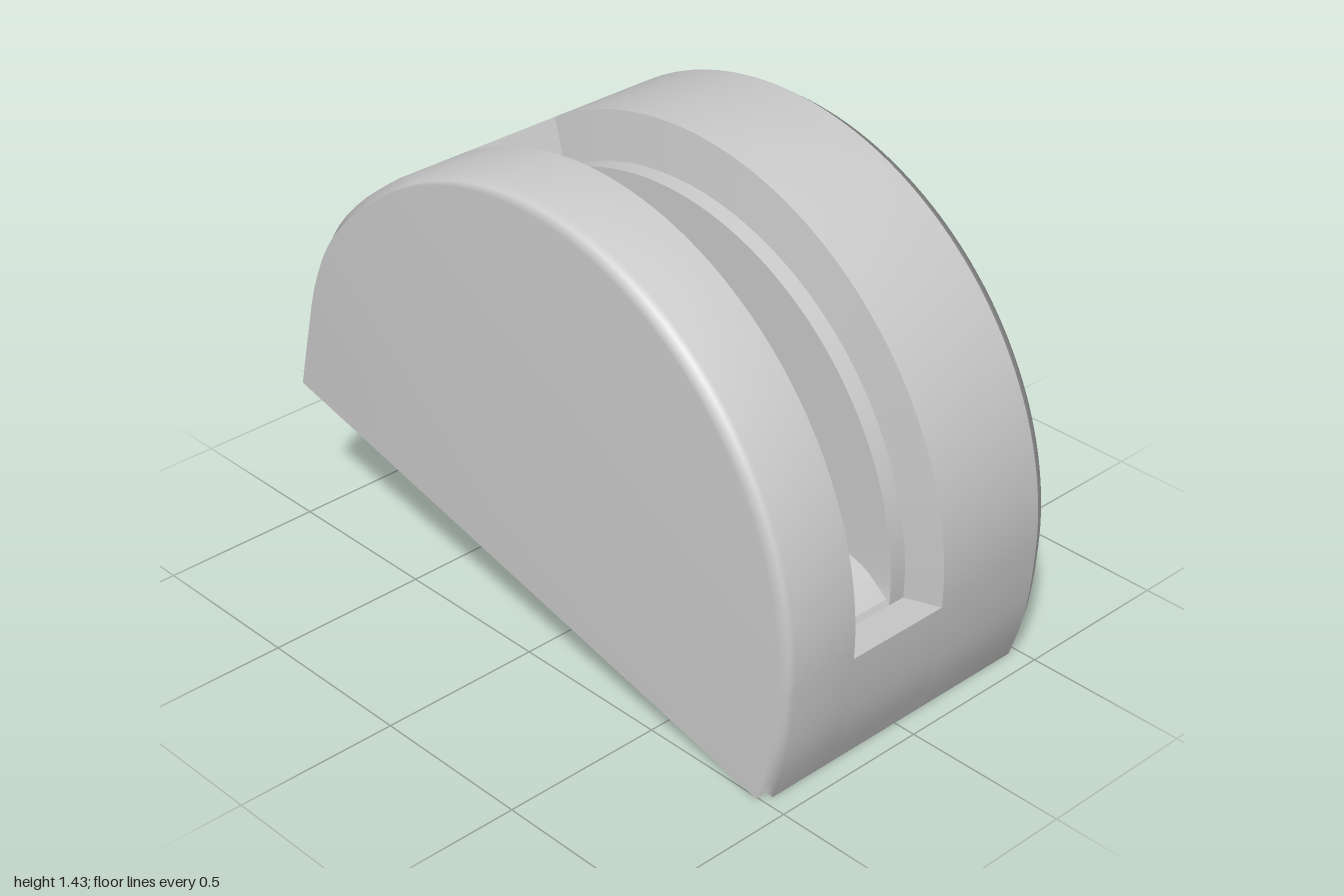
import * as THREE from 'three';
import { toCreasedNormals } from 'three/addons/utils/BufferGeometryUtils.js';

const material = new THREE.MeshStandardMaterial({ color: 0xcccccc, side: THREE.DoubleSide });
const V2 = (z, y) => new THREE.Vector2(z, y);

// Middle of the sloping open base; profiles shrink towards it
const BASE_Y = 0.2265;
const ARC_STEPS = 60;
const END_STEPS = 8;

// Side outline as (z, y), from the front foot over the top to the back foot
function outline() {
  const front = new THREE.SplineCurve([V2(0.93, 0), V2(0.97, 0.13), V2(0.99, 0.26), V2(0.998, 0.37)]);
  const back = new THREE.SplineCurve([V2(-0.52, 1.285), V2(-0.69, 1.155), V2(-0.82, 1.015),
    V2(-0.905, 0.845), V2(-0.955, 0.66), V2(-1, 0.47)]);
  const arc = [];
  for (let i = 0; i <= ARC_STEPS; i++) {
    const a = THREE.MathUtils.degToRad(-3.44 + (121.3 + 3.44) * i / ARC_STEPS);
    arc.push(V2(Math.cos(a), 0.43 + Math.sin(a)));
  }
  return [...front.getPoints(END_STEPS).slice(0, -1), ...arc, ...back.getPoints(16).slice(1)];
}

// One column of the surface: the outline at a given x, shrunk by s
const column = (pts, x, s = 1) =>
  pts.map(p => new THREE.Vector3(x, BASE_Y + (p.y - BASE_Y) * s, p.x * s));

// Smooth surface through neighbouring columns of points
function skin(name, columns, crease) {
  const rows = columns[0].length;
  const position = columns.flatMap(c => c.flatMap(p => p.toArray()));
  const index = [];
  for (let c = 0; c < columns.length - 1; c++) {
    for (let r = 0; r < rows - 1; r++) {
      const a = c * rows + r, b = a + rows;
      index.push(a, a + 1, b, b, a + 1, b + 1);
    }
  }
  let geometry = new THREE.BufferGeometry();
  geometry.setAttribute('position', new THREE.Float32BufferAttribute(position, 3));
  geometry.setIndex(index);
  geometry.computeVertexNormals();
  if (crease) geometry = toCreasedNormals(geometry, crease);
  const mesh = new THREE.Mesh(geometry, material);
  mesh.name = name;
  return mesh;
}

export function createModel() {
  const group = new THREE.Group();
  group.name = 'slottedDome';
  const full = outline();
  const slotStart = END_STEPS, slotEnd = END_STEPS + ARC_STEPS;
  const slotPts = full.slice(slotStart, slotEnd + 1);
  const RIGHT = 0.09, LEFT = -0.25;

  // Rounded body halves with a small step near each flat side
  const side = k => [[0.51, 0], [0.51, 0.977], [0.47, 0.977], [0.47, 1]]
    .map(([x, s]) => column(full, k * x, s));
  group.add(skin('leftBody', [...side(1), column(full, RIGHT)]));
  group.add(skin('rightBody', [column(full, LEFT), ...side(-1).reverse()]));

  // Body in front of and behind the slot
  const panels = { frontPanel: full.slice(0, slotStart + 1), backPanel: full.slice(slotEnd) };
  for (const [name, pts] of Object.entries(panels)) {
    group.add(skin(name, [column(pts, RIGHT), column(pts, LEFT)]));
  }

  // Slot: tapered lip, curved ledge, then a narrow channel down to a sloping floor
  const floor = new THREE.SplineCurve([V2(0.87, 0.37), V2(0.8, 0.425), V2(0.71, 0.455), V2(0.4, 0.53),
    V2(0, 0.63), V2(-0.31, 0.705), V2(-0.365, 0.78), V2(-0.37, 0.98), V2(-0.39, 1.08), V2(-0.43, 1.14)])
    .getSpacedPoints(ARC_STEPS);
  const ledge = 0.88;
  const near = [column(slotPts, RIGHT), column(slotPts, 0.07, ledge),
    column(slotPts, 0.015, ledge), column(floor, 0.01)];
  const far = [column(slotPts, LEFT), column(slotPts, -0.235, ledge),
    column(slotPts, -0.185, ledge), column(floor, -0.18)];
  group.add(skin('slot', [...near, ...[...far].reverse()], 0.9));

  // Slot ends, above and below the ledge
  for (const [a, b] of [[0, 1], [2, 3]]) {
    const edge = (wall, i) => [wall[a][i], wall[b][i]];
    group.add(skin('slotFrontEnd', [edge(near, 0), edge(far, 0)]));
    group.add(skin('slotBackEnd', [edge(far, ARC_STEPS), edge(near, ARC_STEPS)]));
  }
  return group;
}
